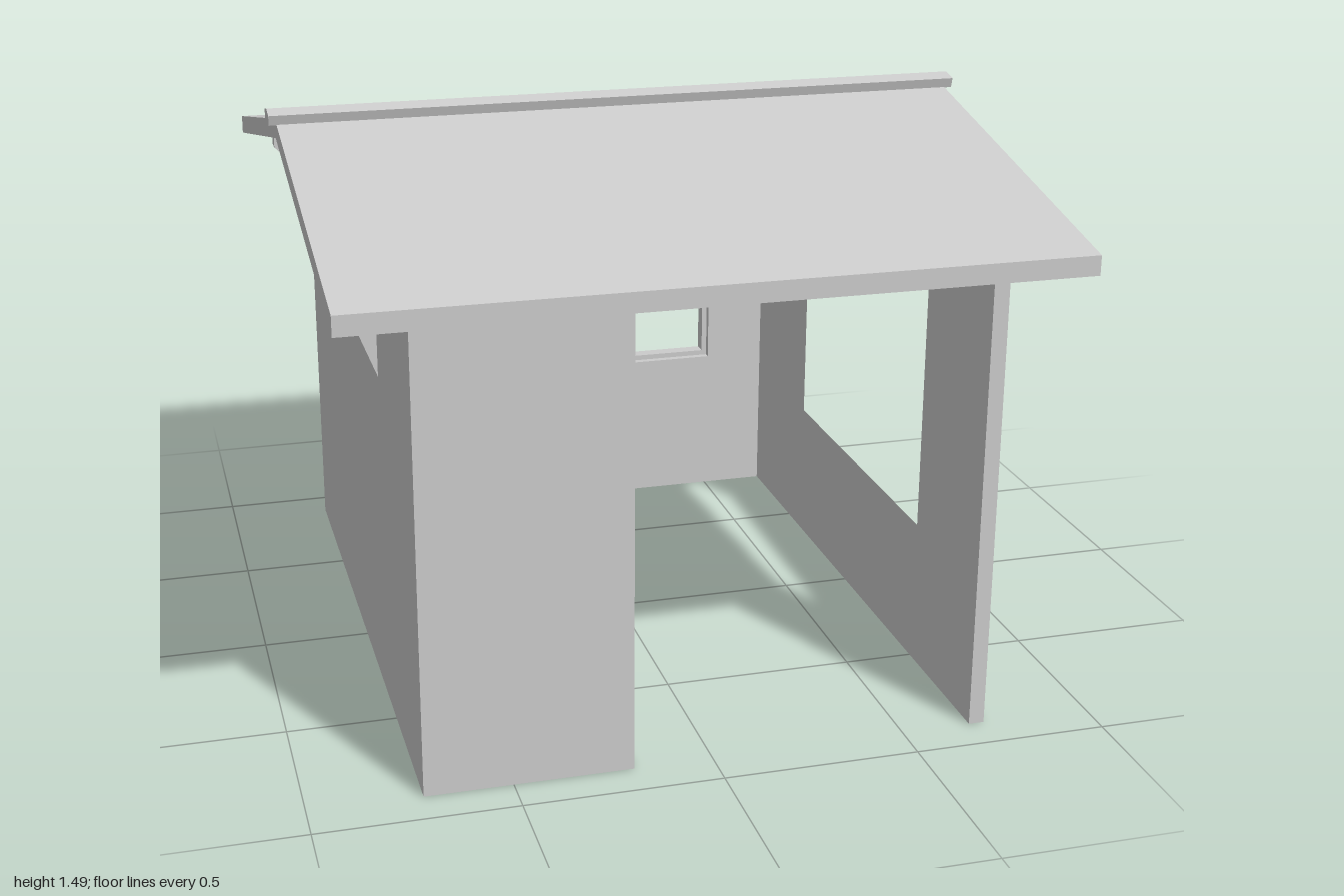
import * as THREE from 'three';

const material = new THREE.MeshStandardMaterial({ color: 0xcccccc, flatShading: true });

const polygon = (points, Type = THREE.Shape) => new Type(points.map(([x, y]) => new THREE.Vector2(x, y)));
const rect = (a0, a1, y0, y1) => [[a0, y0], [a1, y0], [a1, y1], [a0, y1]];

export function createModel() {
  const model = new THREE.Group();

  function add(name, geometry) {
    const mesh = new THREE.Mesh(geometry, material);
    mesh.name = name;
    model.add(mesh);
    return mesh;
  }

  // Extrude an (x, y) outline along z, from z0 to z1
  function alongZ(outline, z0, z1, hole) {
    const shape = polygon(outline);
    if (hole) shape.holes.push(polygon(hole, THREE.Path));
    return new THREE.ExtrudeGeometry(shape, { depth: z1 - z0, bevelEnabled: false }).translate(0, 0, z0);
  }

  // Extrude a (z, y) outline along x, from x0 to x1
  function alongX(outline, x0, x1, hole) {
    const flip = (points) => points && points.map(([z, y]) => [-z, y]);
    return alongZ(flip(outline), x0, x1, flip(hole)).rotateY(Math.PI / 2);
  }

  // Gabled side walls, each with its own window opening
  const gable = [[-0.9, 0], [0.9, 0], [0.9, 1.221], [0, 1.41], [-0.9, 1.221]];
  add('leftWall', alongX(gable, 0.68, 0.72, rect(-0.39, 0.51, 0.385, 1.14)));
  add('rightWall', alongX(gable, -0.72, -0.68, rect(-0.4, 0.4, 0.89, 1.14)));

  // Front panel beside the open doorway, and back wall with a window
  add('frontWall', alongZ(rect(-0.68, -0.2, 0, 1.185), 0.84, 0.9));
  const backOpening = rect(-0.4, 0.507, 0.43, 1.15);
  add('backWall', alongZ(rect(-0.68, 0.68, 0, 1.185), -0.9, -0.82, backOpening));
  add('windowFrame', alongZ(backOpening, -0.88, -0.84, rect(-0.385, 0.492, 0.445, 1.137)));

  // Roof slabs and ridge cap
  for (const side of [-1, 1]) {
    add('roofSlab', alongX([[0, 1.41], [side, 1.2], [side, 1.25], [0, 1.46]], -0.9, 0.9));
  }
  add('ridgeCap', alongX([
    [0, 1.458], [0.037, 1.451], [0.045, 1.477], [0, 1.487], [-0.045, 1.477], [-0.037, 1.451],
  ], -0.92, 0.92));

  // Roof beams with chamfered lower ends
  function beam(name, z, width, bottom, top, chamfer) {
    const end = 0.86;
    add(name, alongZ([
      [-end + chamfer, bottom], [end - chamfer, bottom], [end, bottom + chamfer],
      [end, top], [-end, top], [-end, bottom + chamfer],
    ], z - width / 2, z + width / 2));
  }
  beam('ridgeBeam', 0, 0.066, 1.29, 1.41, 0.055);
  for (const side of [-1, 1]) beam('purlin', side * 0.49, 0.045, 1.235, 1.315, 0.04);

  return model;
}
